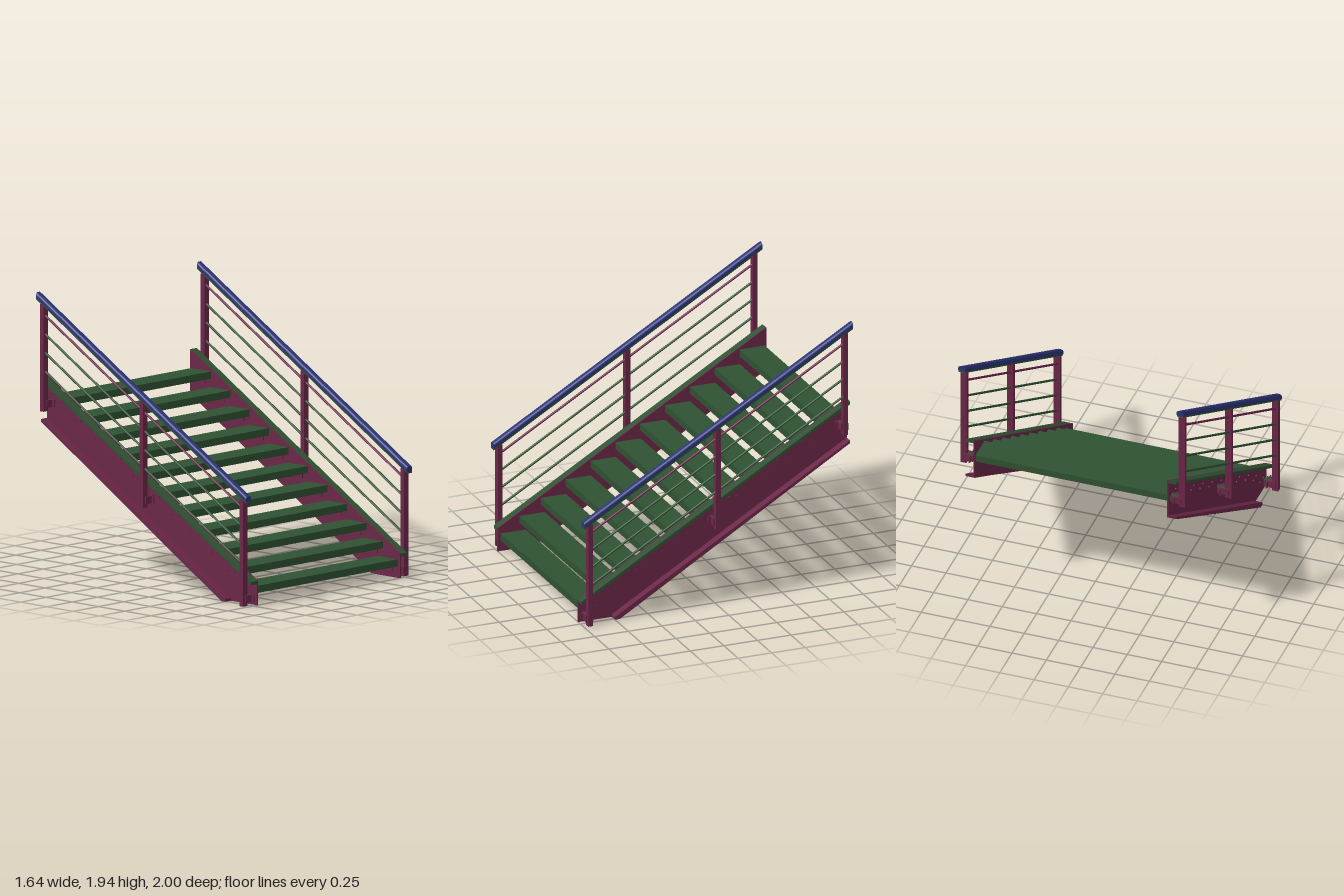
import * as THREE from 'three';

const SLOPE = 0.585;
const green = new THREE.MeshStandardMaterial({ color: 0x2f5233 });
const plum = new THREE.MeshStandardMaterial({ color: 0x6b2748 });
const blue = new THREE.MeshStandardMaterial({ color: 0x2b3478 });

function add(parent, name, geometry, material, x = 0, y = 0, z = 0) {
  const mesh = new THREE.Mesh(geometry, material);
  mesh.name = name;
  mesh.position.set(x, y, z);
  parent.add(mesh);
  return mesh;
}

const box = (w, h, d) => new THREE.BoxGeometry(w, h, d);

// Plate outlined in (-z, y), extruded along x and centred on x = 0
function sidePlate(points, width) {
  const shape = new THREE.Shape(points.map(([u, y]) => new THREE.Vector2(u, y)));
  const g = new THREE.ExtrudeGeometry(shape, { depth: width, bevelEnabled: false });
  g.translate(0, 0, -width / 2);
  return g.rotateY(Math.PI / 2);
}

// Lean a part that runs along z to the pitch of the stairs, keeping its ends vertical
function pitch(g) {
  const p = g.attributes.position;
  for (let i = 0; i < p.count; i++) p.setY(i, p.getY(i) - p.getZ(i) * SLOPE);
  g.computeVertexNormals();
  return g;
}

// Round-topped handrail section, extruded along z
function handrailGeometry() {
  const w = 0.0265, h = 0.036, r = 0.022;
  const s = new THREE.Shape();
  s.moveTo(-w, 0);
  s.lineTo(w, 0);
  s.lineTo(w, h - r);
  s.quadraticCurveTo(w, h, w - r, h);
  s.lineTo(-w + r, h);
  s.quadraticCurveTo(-w, h, -w, h - r);
  s.closePath();
  const g = new THREE.ExtrudeGeometry(s, { depth: 2, bevelEnabled: false, curveSegments: 6 });
  return pitch(g.translate(0, 0, -1));
}

// Nosing position and top height of each tread
const treads = [];
for (let i = 0; i < 11; i++) {
  const z = i === 0 ? 0.98 : i === 1 ? 0.84 : 0.68 - (i - 2) * 0.185;
  treads.push({ z, y: 0.13 + i * 0.108 });
}

function createStringer(side) {
  const g = new THREE.Group();
  g.name = side > 0 ? 'leftStringer' : 'rightStringer';
  // Channel opening outwards
  const web = [[-1, 0], [-0.75, 0], [1, 1.03], [1, 1.34], [-1, 0.17]];
  const top = [[-1, 0.147], [1, 1.317], [1, 1.34], [-1, 0.17]];
  const bottom = [[-0.75, 0], [-0.715, 0], [1, 1.03], [1, 1.05], [-0.75, 0.02]];
  add(g, 'web', sidePlate(web, 0.01), plum, side * 0.706);
  add(g, 'topFlange', sidePlate(top, 0.058), green, side * 0.74);
  add(g, 'bottomFlange', sidePlate(bottom, 0.058), plum, side * 0.74);

  treads.forEach(({ z, y }) => {
    // Angle bracket under the tread end
    add(g, 'treadBracket', box(0.008, 0.06, 0.08), plum, side * 0.697, y - 0.06, z - 0.09);
    add(g, 'treadBracketLeg', box(0.04, 0.008, 0.08), plum, side * 0.68, y - 0.054, z - 0.09);
    // Bolt heads on the outer face of the web
    for (const dz of [-0.06, -0.12]) {
      const bolt = add(g, 'bolt', new THREE.CylinderGeometry(0.008, 0.008, 0.008, 6), plum,
        side * 0.714, y - 0.03, z + dz);
      bolt.rotation.z = Math.PI / 2;
    }
  });
  return g;
}

function createRailing(side) {
  const g = new THREE.Group();
  g.name = side > 0 ? 'leftRailing' : 'rightRailing';
  const x = side * 0.795;
  add(g, 'handrail', handrailGeometry(), blue, x, 1.319);
  add(g, 'handrailBar', pitch(box(0.045, 0.016, 2)), green, x, 1.313);

  // Posts with their clamps on the stringer
  for (const [z, y0] of [[0.952, 0], [0, 0.565], [-0.948, 1.115]]) {
    const y1 = 1.308 - z * SLOPE;
    add(g, 'post', box(0.046, y1 - y0, 0.035), plum, x, (y0 + y1) / 2, z);
    const yc = y0 + 0.052;
    add(g, 'clampBlock', box(0.065, 0.04, 0.035), green, side * 0.742, yc, z);
    for (const dz of [-0.023, 0.023]) {
      add(g, 'clampPlate', box(0.075, 0.05, 0.01), plum, side * 0.76, yc, z + dz);
      add(g, 'clampEar', box(0.01, 0.05, 0.02), plum, side * 0.742, yc, z + dz * 1.6);
    }
  }

  // Four thin infill rails, the upper one in the post colour
  for (let i = 0; i < 4; i++) {
    const rod = new THREE.CylinderGeometry(0.009, 0.009, 1.9, 10).rotateX(Math.PI / 2);
    add(g, 'infillRail', pitch(rod), i ? green : plum, x, 1.235 - i * 0.13);
  }
  return g;
}

// Folded tread: plate with lips turned down at the front, back and ends
function createTread({ z, y }) {
  const g = new THREE.Group();
  g.name = 'tread';
  const depth = 0.187;
  add(g, 'treadPlate', box(1.4, 0.012, depth), green, 0, -0.006, -depth / 2);
  add(g, 'frontLip', box(1.4, 0.04, 0.01), green, 0, -0.03, -0.005);
  add(g, 'backLip', box(1.4, 0.04, 0.01), green, 0, -0.03, -depth + 0.005);
  g.position.set(0, y, z);
  return g;
}

export function createModel() {
  const model = new THREE.Group();
  model.name = 'staircase';
  for (const side of [-1, 1]) model.add(createStringer(side), createRailing(side));
  treads.forEach((t) => model.add(createTread(t)));
  return model;
}
